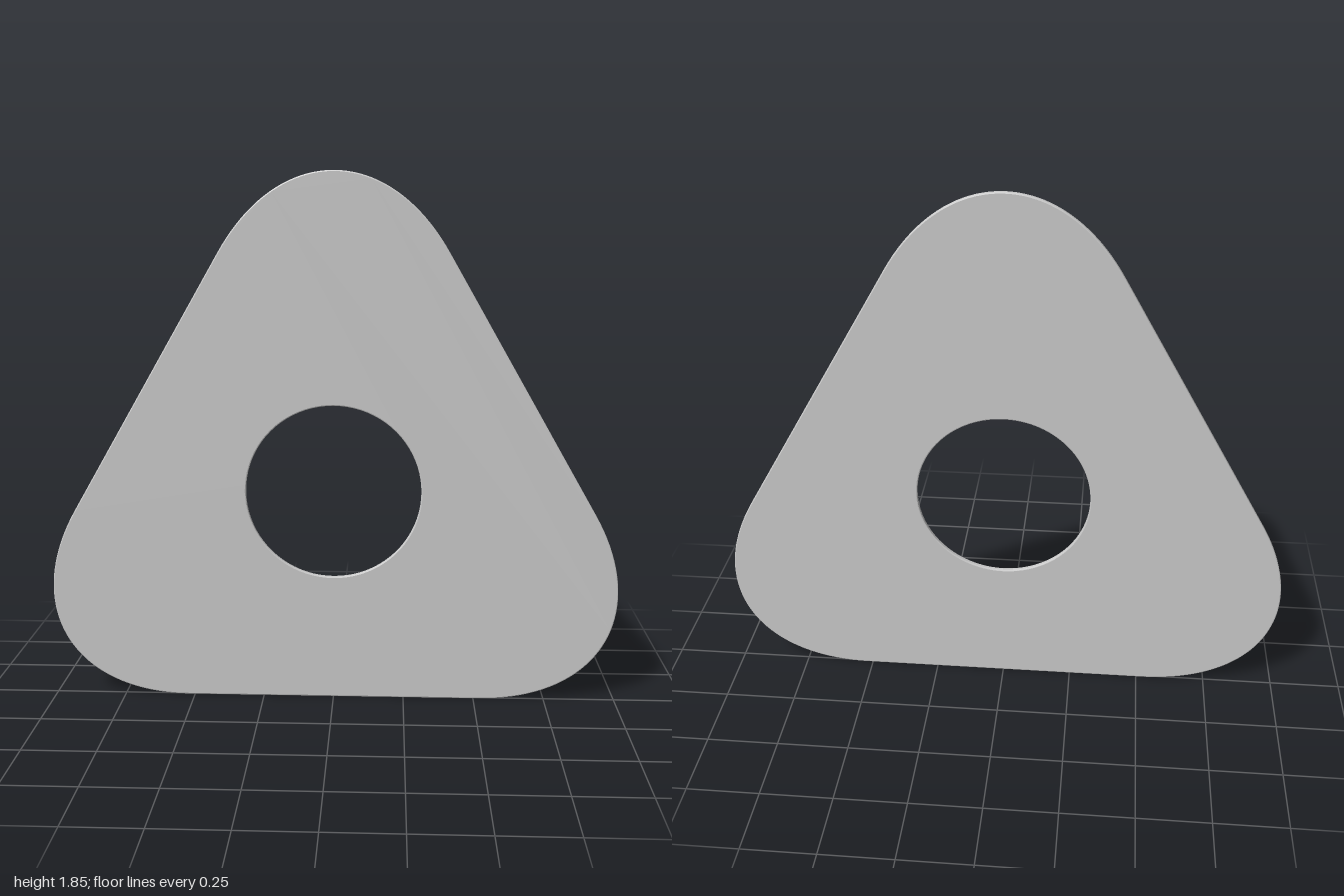
import * as THREE from 'three';
import { toCreasedNormals } from 'three/addons/utils/BufferGeometryUtils.js';

const INRADIUS = 0.753;     // centre to each straight side
const HALF_SIDE = 0.52;     // half length of each straight side
const ROUNDNESS = 0.536;    // how far the corner handles reach to the sharp corner
const HOLE_RADIUS = 0.306;
const THICKNESS = 0.018;
const BEVEL = 0.004;

// Triangle with three identical softly rounded corners
function plateShape() {
  const shape = new THREE.Shape();
  const sharp = INRADIUS * Math.sqrt(3);
  const handle = HALF_SIDE + (sharp - HALF_SIDE) * ROUNDNESS;
  // point on side i, at distance t along it from its middle
  const onSide = (i, t) => new THREE.Vector2(t, -INRADIUS)
    .rotateAround(new THREE.Vector2(), i * Math.PI * 2 / 3);

  const start = onSide(0, -HALF_SIDE);
  shape.moveTo(start.x, start.y);
  for (let i = 0; i < 3; i++) {
    const a = onSide(i, HALF_SIDE), b = onSide(i, handle);
    const c = onSide(i + 1, -handle), d = onSide(i + 1, -HALF_SIDE);
    shape.lineTo(a.x, a.y);
    shape.bezierCurveTo(b.x, b.y, c.x, c.y, d.x, d.y);
  }

  // Round hole through the centre
  const hole = new THREE.Path();
  hole.absarc(0, 0, HOLE_RADIUS, 0, Math.PI * 2, true);
  shape.holes.push(hole);
  return shape;
}

export function createModel() {
  const group = new THREE.Group();
  group.name = 'roundedTriangle';

  // Thin plate with slightly eased rims
  const depth = THICKNESS - 2 * BEVEL;
  const geometry = new THREE.ExtrudeGeometry(plateShape(), {
    depth, curveSegments: 40,
    bevelEnabled: true, bevelThickness: BEVEL, bevelSize: BEVEL,
    bevelOffset: -BEVEL, bevelSegments: 2,
  });
  geometry.translate(0, INRADIUS, -depth / 2);

  const plate = new THREE.Mesh(
    toCreasedNormals(geometry, 0.35),
    new THREE.MeshStandardMaterial({ color: 0xcccccc }),
  );
  plate.name = 'plate';
  group.add(plate);
  return group;
}
